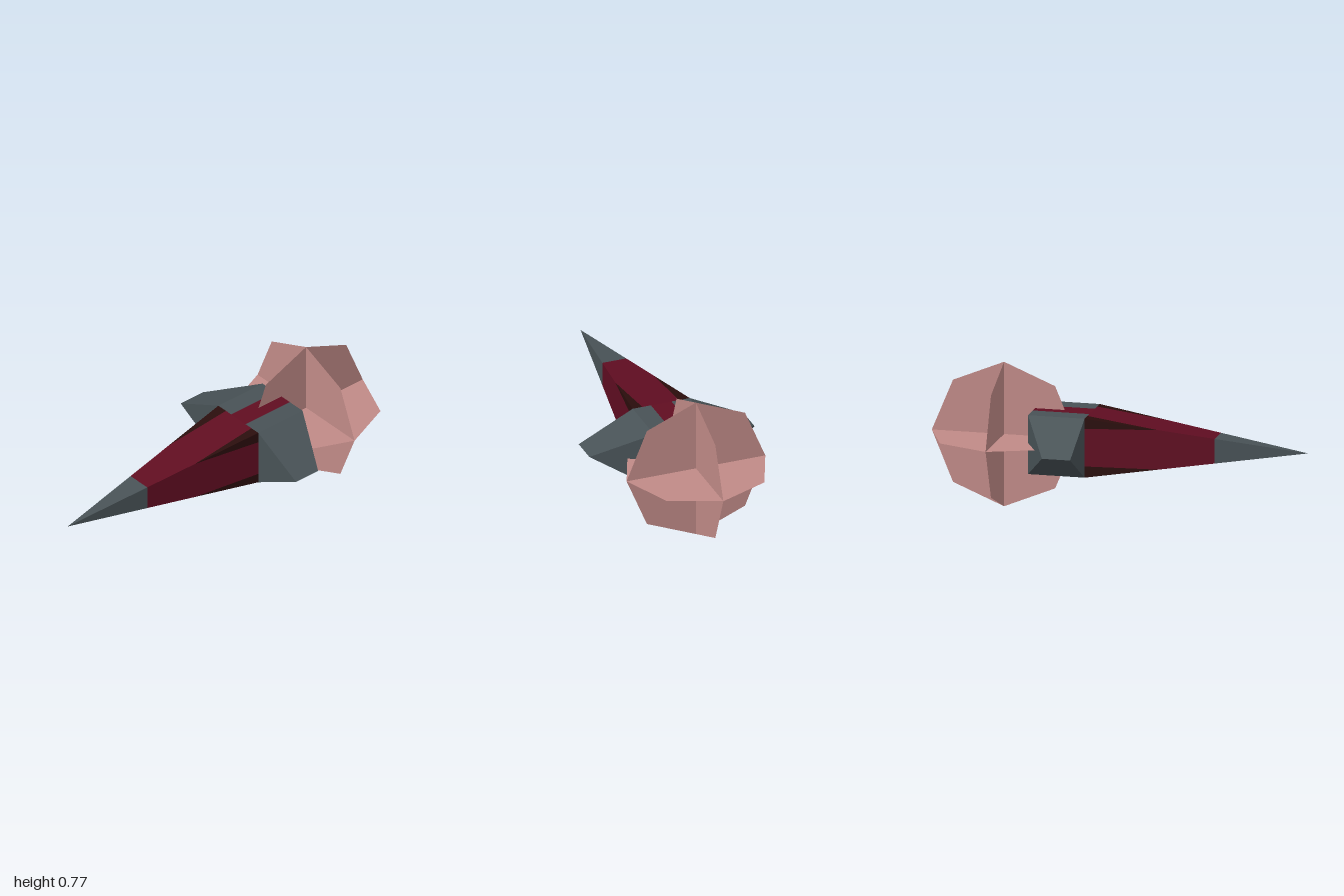
import * as THREE from 'three';

const mat = (name, color, extra = {}) => {
  const m = new THREE.MeshStandardMaterial({ color, flatShading: true, ...extra });
  m.name = name;
  return m;
};

// Flat-faced mesh from convex polygons, each wound to face away from `centre`.
function facets(name, polygons, centre, material) {
  const out = [];
  const c = new THREE.Vector3(...centre);
  for (const poly of polygons) {
    const p = poly.map((v) => new THREE.Vector3(...v));
    for (let i = 1; i < p.length - 1; i++) {
      const tri = [p[0], p[i], p[i + 1]];
      const n = tri[1].clone().sub(tri[0]).cross(tri[2].clone().sub(tri[0]));
      if (n.dot(tri[0].clone().sub(c)) < 0) tri.reverse();
      tri.forEach((v) => out.push(v.x, v.y, v.z));
    }
  }
  const g = new THREE.BufferGeometry();
  g.setAttribute('position', new THREE.Float32BufferAttribute(out, 3));
  g.computeVertexNormals();
  const mesh = new THREE.Mesh(g, material);
  mesh.name = name;
  return mesh;
}

const lerp = (a, b, t) => a.map((v, i) => v + (b[i] - v) * t);

export function createModel() {
  const model = new THREE.Group();
  model.name = 'dartCraft';
  const slate = mat('slate', 0x485256);
  const crimson = mat('crimson', 0x600d21);
  const brown = mat('darkBrown', 0x2a0d0c);
  const red = mat('brightRed', 0xe01010);
  const pink = mat('pink', 0xc08a87, { side: THREE.DoubleSide });

  const W = 0.158, LO = 0.22, HI = 0.533, MID = 0.385, FRONT = -0.15, BACK = -0.45;
  const tip = [-0.008, MID, 1];
  const inside = [0, MID, -0.1];

  // Long tapering hull: crimson panels with brown corner wedges
  const corners = [[-W, LO, FRONT], [W, LO, FRONT], [W, HI, FRONT], [-W, HI, FRONT]];
  const noseT = 0.582, wedgeT = 0.33;
  const panels = [], wedges = [], nose = [];
  corners.forEach((a, i) => {
    const b = corners[(i + 1) % 4];
    const a1 = lerp(a, b, 0.17), b1 = lerp(b, a, 0.19);
    const a2 = lerp(a, tip, wedgeT), b2 = lerp(b, tip, wedgeT);
    const a3 = lerp(a, tip, noseT), b3 = lerp(b, tip, noseT);
    panels.push([a1, b1, b2, b3, a3, a2]);
    wedges.push([a, a1, a2], [b, b2, b1]);
    nose.push([a3, b3, tip]);
  });
  model.add(
    facets('hullPanels', panels, inside, crimson),
    facets('hullCornerWedges', wedges, inside, brown),
    facets('noseCone', nose, inside, slate),
  );

  // Centre block: crimson stripe above and below, bright exhaust plate behind
  const S = 0.057;
  const strip = (x0, x1, y) => [[x0, y, FRONT], [x1, y, FRONT], [x1, y, BACK], [x0, y, BACK]];
  const blockCentre = [0, MID, -0.3];
  model.add(
    facets('centreStripes', [strip(-S, S, HI), strip(-S, S, LO)], blockCentre, crimson),
    facets('exhaustPlate', [[[-W, LO, BACK], [W, LO, BACK], [W, HI, BACK], [-W, HI, BACK]]], blockCentre, red),
  );

  // Stubby wedge wings with shoulders
  for (const s of [-1, 1]) {
    const x = s * W, t = s * 0.457;
    const tf = [t, MID, FRONT], tb = [t, MID, -0.3];
    const hf = [x, HI, FRONT], hb = [x, HI, BACK], lf = [x, LO, FRONT], lb = [x, LO, BACK];
    model.add(facets(s > 0 ? 'leftWing' : 'rightWing', [
      strip(s * S, x, HI), strip(s * S, x, LO),
      [hf, tf, tb, hb], [lf, tf, tb, lb],
      [hf, lf, tf], [hb, lb, tb],
    ], [s * 0.15, MID, -0.28], slate));
  }

  // Exhaust burst: three crossing octagonal sheets
  const burst = new THREE.Group();
  burst.name = 'exhaustBurst';
  burst.position.set(-0.008, MID, -0.616);
  for (const [rx, ry] of [[0, 0], [Math.PI / 2, 0], [0, Math.PI / 2]]) {
    const sheet = new THREE.Mesh(new THREE.CircleGeometry(0.384, 8), pink);
    sheet.name = 'burstSheet';
    sheet.rotation.set(rx, ry, 0);
    burst.add(sheet);
  }
  model.add(burst);
  return model;
}
